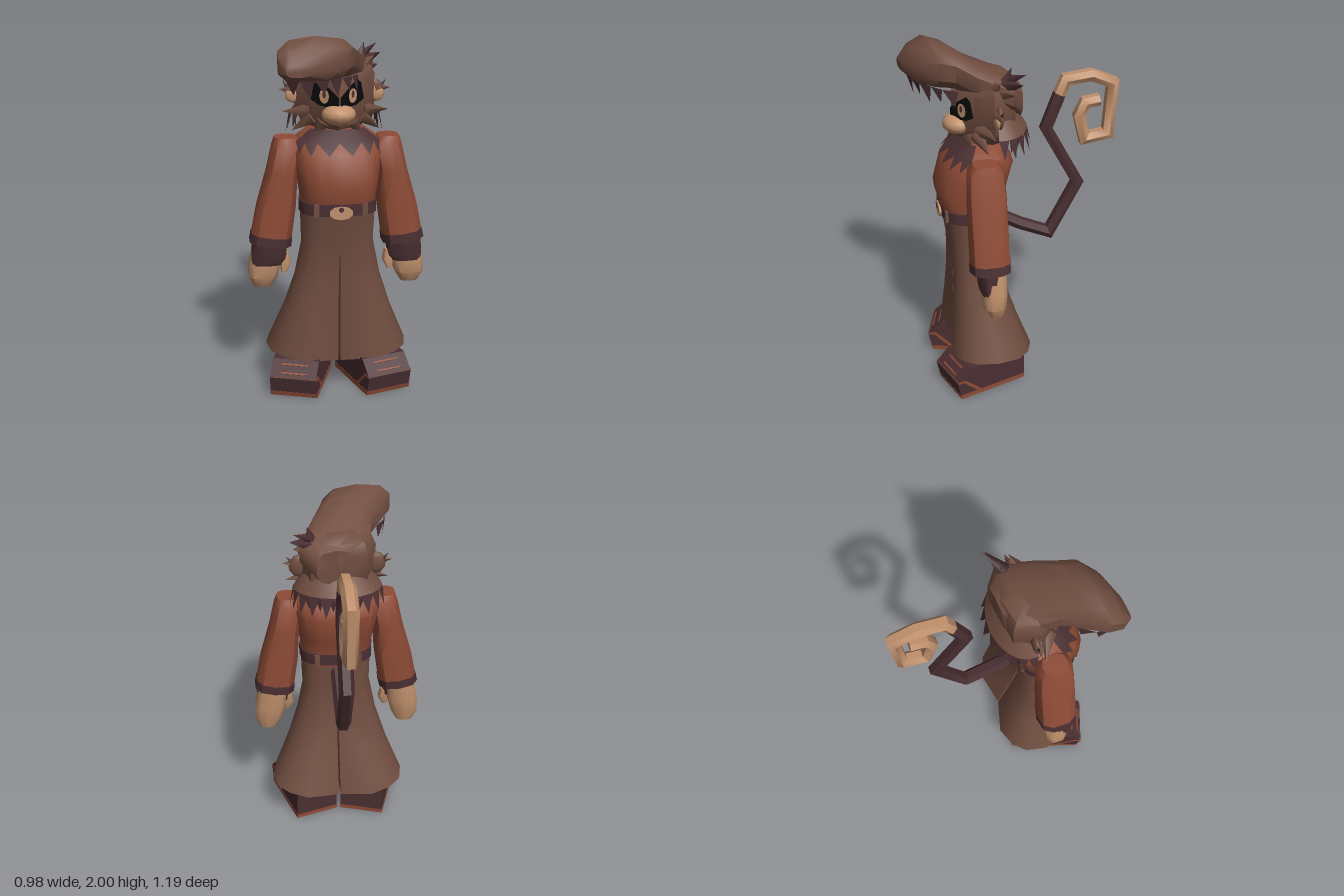
import * as THREE from 'three';
import { toCreasedNormals } from 'three/addons/utils/BufferGeometryUtils.js';

const mat = (name, color, side = THREE.FrontSide) => {
  const m = new THREE.MeshStandardMaterial({ color, side });
  m.name = name;
  return m;
};

export function createModel() {
  const model = new THREE.Group();
  const brown = mat('brown', 0x704d40, THREE.DoubleSide);
  const rust = mat('rust', 0x8e4b36);
  const dark = mat('dark maroon', 0x4a2f32, THREE.DoubleSide);
  const tan = mat('tan', 0xc0906c);
  const black = mat('black', 0x0a0a0c);

  const add = (name, geo, material, parent = model) => {
    const mesh = new THREE.Mesh(geo, material);
    mesh.name = name;
    parent.add(mesh);
    return mesh;
  };
  const fromTriangles = (tris) => {
    const g = new THREE.BufferGeometry();
    g.setAttribute('position', new THREE.Float32BufferAttribute(tris.flat(2), 3));
    return g;
  };

  // Closed skin over equal-length rings, turned outward by its signed volume
  const loft = (rings, crease = 0.75) => {
    const tris = [];
    const n = rings[0].length;
    const middle = (r) => [0, 1, 2].map((k) => r.reduce((a, p) => a + p[k], 0) / n);
    const first = rings[0], last = rings[rings.length - 1];
    const c0 = middle(first), c1 = middle(last);
    for (let j = 0; j < n; j++) {
      const k = (j + 1) % n;
      for (let i = 0; i + 1 < rings.length; i++) {
        const [a, b] = [rings[i], rings[i + 1]];
        tris.push([a[j], a[k], b[k]], [a[j], b[k], b[j]]);
      }
      tris.push([c0, first[k], first[j]], [c1, last[j], last[k]]);
    }
    let volume = 0;
    const [a, b, c] = [0, 1, 2].map(() => new THREE.Vector3());
    for (const t of tris) {
      volume += a.fromArray(t[0]).dot(b.fromArray(t[1]).cross(c.fromArray(t[2])));
    }
    if (volume < 0) tris.forEach((t) => t.reverse());
    return toCreasedNormals(fromTriangles(tris), crease);
  };

  const pw = (v, p) => Math.sign(v) * Math.abs(v) ** p;
  // Horizontal rounded ring
  const ring = (cx, y, cz, rx, rz, n = 10, tilt = 0, p = 0.75) =>
    Array.from({ length: n }, (_, i) => {
      const t = Math.PI / 2 + (i / n) * Math.PI * 2;
      const dx = rx * pw(Math.cos(t), p);
      return [cx + dx, y + tilt * dx, cz + rz * pw(Math.sin(t), p)];
    });
  // Row of pointed teeth hanging from a path
  const fringe = (tops, tips) => fromTriangles(tips.map((tip, i) => [tops[i], tip, tops[i + 1]]));
  const teeth = (tops, tips) => { const g = fringe(tops, tips); g.computeVertexNormals(); return g; };
  const spike = (name, from, to, r, material) => {
    const a = new THREE.Vector3(...from), d = new THREE.Vector3(...to).sub(a);
    const g = new THREE.ConeGeometry(r, d.length(), 5).translate(0, d.length() / 2, 0);
    const m = add(name, g, material);
    m.position.copy(a);
    m.quaternion.setFromUnitVectors(new THREE.Vector3(0, 1, 0), d.normalize());
  };

  // Torso: y, half width, front z, back z
  const torsoProfile = [
    [1.02, 0.2, 0.42, 0.1], [1.1, 0.205, 0.44, 0.1], [1.2, 0.22, 0.465, 0.07],
    [1.36, 0.245, 0.42, 0.03], [1.42, 0.235, 0.37, 0.06], [1.48, 0.15, 0.3, 0.1],
  ];
  const torsoRing = ([y, rx, f, b], s = 1) => ring(0, y, (f + b) / 2, rx * s, ((f - b) / 2) * s, 16);
  add('shirt', loft(torsoProfile.map((r) => torsoRing(r))), rust);

  // Fur bib on the chest
  const row = (i) => {
    const r = torsoRing(torsoProfile[i], 1.025);
    return [-3, -2, -1, 0, 1, 2, 3].map((k) => r[(k + 16) % 16]);
  };
  const [hi, mid, low] = [row(5), row(4), row(3)];
  const bib = [];
  for (let i = 0; i < 6; i++) {
    bib.push([hi[i], mid[i], mid[i + 1]], [hi[i], mid[i + 1], hi[i + 1]]);
    const tip = low[i].map((v, k) => (v + low[i + 1][k]) / 2 + (k === 2 ? 0.008 : 0));
    bib.push([mid[i], tip, mid[i + 1]]);
  }
  add('chestFur', toCreasedNormals(fromTriangles(bib), 0.8), dark);

  // Belt, loops and buckle
  const beltRings = [1.035, 1.1].map((y) => torsoRing([y, 0.206, 0.435, 0.1], 1.04));
  add('belt', loft(beltRings), dark);
  for (const [x, z] of [[-0.13, 0.42], [0.13, 0.42], [-0.12, 0.107], [0.12, 0.107]]) {
    add('beltLoop', new THREE.BoxGeometry(0.03, 0.066, 0.02).translate(x, 1.067, z), brown);
  }
  add('buckle', new THREE.CylinderGeometry(1, 1, 0.012, 10).rotateX(Math.PI / 2)
    .scale(0.065, 0.037, 1).translate(0, 1.055, 0.443), tan);
  add('buckleStud', new THREE.CylinderGeometry(0.014, 0.014, 0.008, 8).rotateX(Math.PI / 2)
    .translate(0, 1.075, 0.45), dark);

  // Flared trouser legs: y, half width, front z, back z, crease depth, hem tilt
  const legProfile = [
    [1.06, 0.207, 0.43, 0.11, 0, 0], [0.85, 0.2, 0.4, 0.11, 0.05, 0], [0.65, 0.24, 0.4, 0.1, 0.15, 0],
    [0.45, 0.305, 0.415, 0.04, 0.2, 0], [0.17, 0.4, 0.44, -0.06, 0.25, 0.125],
  ];
  for (const s of [-1, 1]) {
    const rings = legProfile.map(([y, rx, f, b, crease, tilt], r) =>
      Array.from({ length: 9 }, (_, i) => {
        const t = ((i - 4) / 8) * Math.PI;
        const end = i % 8 === 0;
        const x = end ? (r > 1 ? 0.005 : 0) : rx * pw(Math.cos(t), 0.75);
        const z = pw(Math.sin(t), 0.75) * (end ? 1 - crease : 1);
        return [s * x, y + tilt * x, (f + b) / 2 + ((f - b) / 2) * z];
      }));
    add('trouserLeg', loft(rings, 0.9), brown);

    // Shoe with sole and trim
    const shoe = new THREE.Group();
    shoe.name = 'shoe';
    shoe.position.set(s * 0.137, 0, 0.05);
    shoe.rotation.y = s * 0.31;
    model.add(shoe);
    const slab = (pts, w) => new THREE.ExtrudeGeometry(
      new THREE.Shape(pts.map((p) => new THREE.Vector2(...p))), { depth: w, bevelEnabled: false })
      .rotateY(-Math.PI / 2).translate(w / 2, 0, 0);
    add('upper', slab([[0, 0.025], [0.425, 0.025], [0.445, 0.115], [0.36, 0.195], [0, 0.195]], 0.262), dark, shoe);
    add('sole', slab([[0, 0], [0.42, 0], [0.427, 0.026], [0, 0.026]], 0.266), rust, shoe);
    add('sideStripe', slab([[0.28, 0.02], [0.31, 0.02], [0.405, 0.11], [0.44, 0.11], [0.44, 0.122], [0.395, 0.122]], 0.268), rust, shoe);
    for (const [u, w] of [[-0.026, 0.15], [0.026, 0.15]]) {
      const lace = add('lace', new THREE.BoxGeometry(w, 0.006, 0.01), rust, shoe);
      lace.position.set(0, 0.155 - u * 0.69, 0.404 + u * 0.73);
      lace.rotation.x = 0.755;
    }

    // Sleeve, cuff, forearm fur and hand
    const limb = (rows) => loft(rows.map(([x, y, z, rx, rz, tilt = 0]) =>
      ring(s * x, y, z, rx, rz, 10, s * tilt)));
    add('sleeve', limb([[0.28, 1.435, 0.23, 0.06, 0.07], [0.272, 1.39, 0.23, 0.083, 0.1],
      [0.3, 1.25, 0.23, 0.087, 0.11], [0.335, 1.05, 0.23, 0.11, 0.112],
      [0.367, 0.86, 0.23, 0.113, 0.112, 0.13]]), rust);
    add('cuff', limb([[0.362, 0.89, 0.23, 0.116, 0.115, 0.13], [0.37, 0.84, 0.23, 0.118, 0.115, 0.13]]), dark);
    add('forearmFur', limb([[0.375, 0.85, 0.24, 0.098, 0.07], [0.38, 0.75, 0.245, 0.1, 0.055],
      [0.39, 0.715, 0.25, 0.08, 0.04]]), dark);
    add('hand', limb([[0.38, 0.85, 0.215, 0.085, 0.07], [0.4, 0.72, 0.215, 0.092, 0.07],
      [0.412, 0.64, 0.22, 0.082, 0.065], [0.415, 0.58, 0.21, 0.05, 0.04]]), tan);
    add('thumb', limb([[0.29, 0.78, 0.24, 0.02, 0.03], [0.288, 0.72, 0.245, 0.032, 0.032],
      [0.297, 0.67, 0.25, 0.016, 0.02]]), tan);

    // Eye patch lying on the slanted face plane
    const eye = new THREE.Group();
    eye.name = 'eye';
    eye.position.set(0, 0, 0.357);
    eye.rotation.y = s * 0.62;
    model.add(eye);
    const plate = (name, pts, lift, material) => add(name, new THREE.ShapeGeometry(
      new THREE.Shape(pts.map(([u, y]) => new THREE.Vector2(s * u, y)))).translate(0, 0, lift), material, eye);
    const oval = (u, y, ru, ry) => Array.from({ length: 10 }, (_, i) => {
      const t = (i / 5) * Math.PI;
      return [u + ru * Math.cos(t), y + ry * Math.sin(t)];
    });
    plate('eyePatch', [[0, 1.66], [0.07, 1.715], [0.122, 1.748], [0.15, 1.73], [0.172, 1.64], [0.12, 1.612], [0.03, 1.6], [0, 1.62]], 0.006, black);
    plate('iris', oval(0.088, 1.664, 0.03, 0.04), 0.009, tan);
    plate('pupil', oval(0.086, 1.672, 0.01, 0.02), 0.012, dark);

    // Ear with fur tips, and cheek tufts
    const ball = (x, y, z, rx, ry, rz) => new THREE.SphereGeometry(1, 10, 6).scale(rx, ry, rz).translate(s * x, y, z);
    add('earBack', ball(0.215, 1.66, 0.135, 0.052, 0.066, 0.022), brown);
    add('earInner', ball(0.23, 1.645, 0.152, 0.042, 0.043, 0.016), tan);
    spike('earTuft', [s * 0.22, 1.67, 0.145], [s * 0.305, 1.675, 0.14], 0.03, brown);
    spike('earTuft', [s * 0.22, 1.64, 0.14], [s * 0.285, 1.72, 0.13], 0.022, dark);
    spike('cheekTuft', [s * 0.14, 1.57, 0.22], [s * 0.29, 1.56, 0.17], 0.045, brown);
    spike('cheekTuft', [s * 0.13, 1.54, 0.24], [s * 0.24, 1.46, 0.2], 0.045, brown);
    spike('jawTuft', [s * 0.08, 1.52, 0.28], [s * 0.13, 1.44, 0.27], 0.045, brown);
  }

  // Head: y, half width, front z, back z
  add('head', loft([
    [1.44, 0.11, 0.28, 0.09], [1.5, 0.17, 0.33, 0.04], [1.56, 0.215, 0.355, 0],
    [1.76, 0.215, 0.355, 0], [1.82, 0.19, 0.29, 0.02], [1.86, 0.1, 0.22, 0.08],
  ].map(([y, rx, f, b]) => {
    const side = [[0.65 * rx, f - 0.1 * rx / 0.215], [rx, 0.16], [0.72 * rx, b + 0.035]];
    return [[0, y, f], ...side.map(([x, z]) => [x, y, z]), [0, y, b],
      ...side.reverse().map(([x, z]) => [-x, y, z])];
  })), brown);
  add('muzzle', new THREE.SphereGeometry(1, 12, 8).scale(0.093, 0.058, 0.085).translate(0, 1.565, 0.322), tan);

  // Hair ruff round the back of the head
  const arc = (rx, rz, y, n, shift = 0) => Array.from({ length: n + 1 - (shift ? 1 : 0) }, (_, i) => {
    const t = -0.15 + ((i + shift) / n) * (Math.PI + 0.3);
    return [rx * Math.cos(t), y, 0.12 - rz * Math.sin(t)];
  });
  const [top, rim, tips] = [arc(0.18, 0.11, 1.64, 11), arc(0.25, 0.175, 1.54, 11), arc(0.27, 0.2, 1.43, 11, 0.5)];
  const mantle = [];
  for (let i = 0; i < 11; i++) mantle.push([top[i], rim[i + 1], rim[i]], [top[i], top[i + 1], rim[i + 1]]);
  add('hairRuff', toCreasedNormals(fromTriangles(mantle), 0.8), brown);
  add('ruffTeeth', teeth(rim, tips), dark);
  add('ruffUnder', teeth(arc(0.235, 0.16, 1.56, 10), arc(0.22, 0.14, 1.44, 10, 0.5)), dark);

  // Big swept quiff: z, centre x, half width, top y, bottom y
  add('quiff', loft([
    [0.0, 0.02, 0.11, 1.8, 1.6], [0.08, 0.02, 0.2, 1.85, 1.66], [0.25, -0.03, 0.18, 1.92, 1.72],
    [0.36, -0.1, 0.19, 1.98, 1.76], [0.45, -0.14, 0.2, 2.0, 1.76], [0.53, -0.18, 0.16, 1.95, 1.77],
    [0.59, -0.23, 0.07, 1.87, 1.81],
  ].map(([z, cx, rx, t, b]) => Array.from({ length: 10 }, (_, i) => {
    const a = Math.PI / 2 + (i / 5) * Math.PI;
    const dx = rx * pw(Math.cos(a), 0.75);
    return [cx + dx, (t + b) / 2 + ((t - b) / 2) * pw(Math.sin(a), 0.75), z - 0.12 * dx];
  }))), brown);
  const edge = [[-0.24, 1.79, 0.34], [-0.3, 1.8, 0.42], [-0.31, 1.81, 0.51], [-0.23, 1.79, 0.56], [-0.15, 1.785, 0.54],
    [-0.07, 1.785, 0.51], [0.0, 1.785, 0.46], [0.06, 1.785, 0.41], [0.1, 1.78, 0.33]];
  add('quiffTeeth', teeth(edge, edge.slice(1).map((p, i) => [
    (p[0] + edge[i][0]) / 2 + 0.015, i % 2 ? 1.69 : 1.71, (p[2] + edge[i][2]) / 2 - 0.02])), dark);

  // Tufts on the left of the crown
  for (const [from, to, r, m] of [
    [[0.14, 1.8, 0.1], [0.17, 1.92, 0.06], 0.04, dark], [[0.15, 1.81, 0.09], [0.27, 1.85, 0.02], 0.045, dark],
    [[0.16, 1.78, 0.1], [0.25, 1.79, 0.06], 0.05, brown], [[0.15, 1.84, 0.08], [0.25, 1.9, 0.0], 0.028, dark],
    [[0.13, 1.78, 0.17], [0.22, 1.85, 0.13], 0.06, brown]]) spike('crownTuft', from, to, r, m);

  // Curled tail: z and y along the path, mitred at each bend
  const path = [[0.13, 0.99], [-0.03, 0.9], [-0.2, 0.825], [-0.365, 1.135], [-0.175, 1.485], [-0.25, 1.68],
    [-0.285, 1.76], [-0.43, 1.775], [-0.555, 1.72], [-0.535, 1.42], [-0.4, 1.4], [-0.365, 1.54],
    [-0.4, 1.615], [-0.48, 1.625]].map((p) => new THREE.Vector2(...p));
  const tailRings = path.map((p, i) => {
    const into = p.clone().sub(path[Math.max(i - 1, 0)]).normalize();
    const out = path[Math.min(i + 1, path.length - 1)].clone().sub(p).normalize();
    const t = into.clone().add(out).normalize();
    const stretch = 1 / Math.max(0.75, t.dot(i ? into : out));
    return Array.from({ length: 6 }, (_, j) => {
      const a = (j / 3) * Math.PI;
      const v = 0.036 * stretch * Math.sin(a);
      return [0.043 * Math.cos(a), p.y + t.x * v, p.x - t.y * v];
    });
  });
  add('tail', loft(tailRings.slice(0, 6)), dark);
  add('tailCurl', loft(tailRings.slice(5)), tan);

  return model;
}
